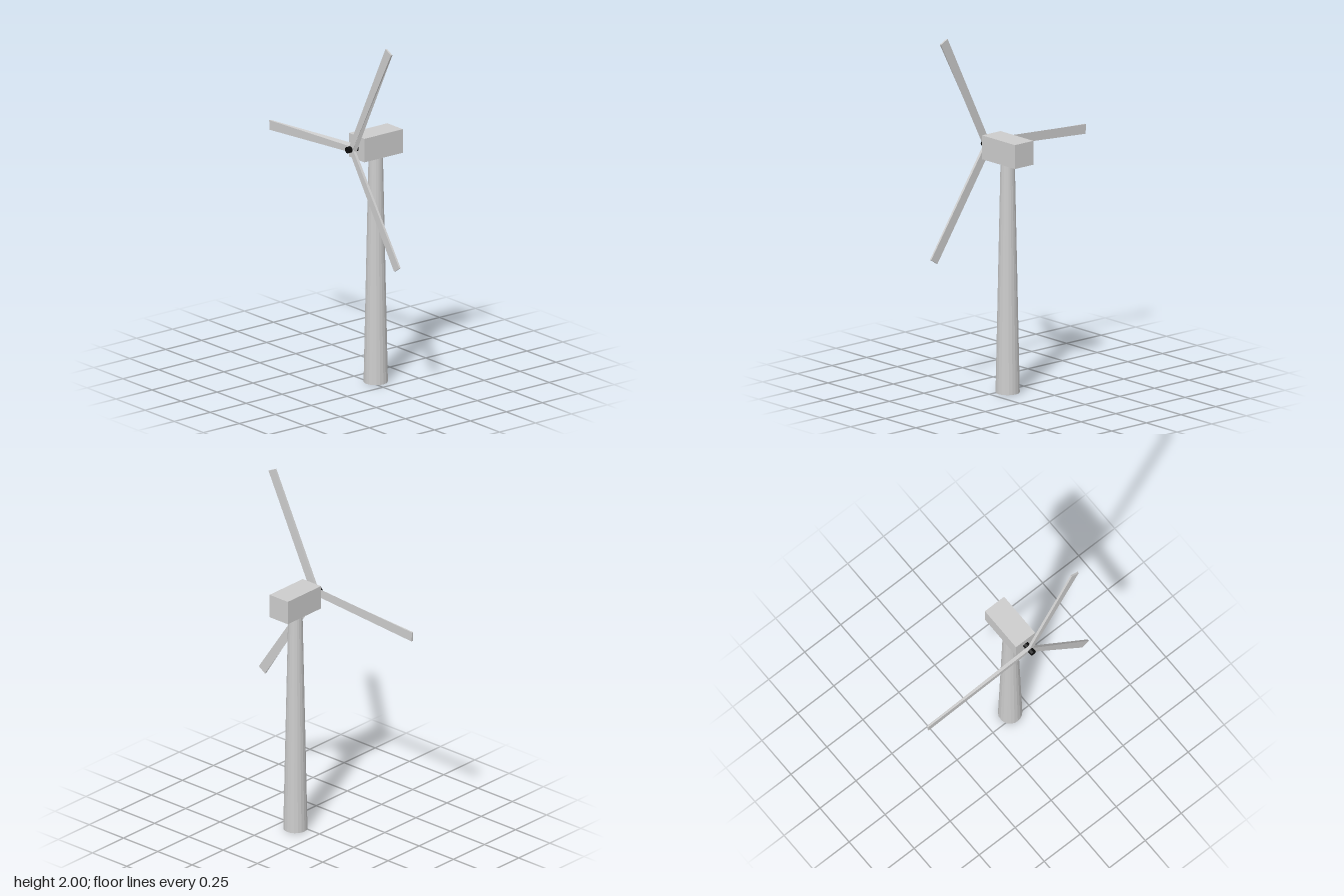
import * as THREE from 'three';

export function createModel() {
  const model = new THREE.Group();
  const shell = new THREE.MeshStandardMaterial({ color: 0xcccccc, flatShading: true });
  shell.name = 'light grey';
  const dark = new THREE.MeshStandardMaterial({ color: 0x0a0a0a, flatShading: true });
  dark.name = 'black';

  const axisX = 0.146, axisY = 1.356;

  function add(parent, name, geometry, material, x, y, z) {
    const mesh = new THREE.Mesh(geometry, material);
    mesh.name = name;
    mesh.position.set(x, y, z);
    parent.add(mesh);
    return mesh;
  }

  // Tapered tower and boxy housing
  add(model, 'tower', new THREE.CylinderGeometry(0.039, 0.066, 1.29, 20), shell, axisX, 0.645, -0.033);
  add(model, 'nacelle', new THREE.BoxGeometry(0.133, 0.134, 0.267), shell, axisX, axisY + 0.001, -0.034);

  // Rotor turns about the z axis
  const rotor = new THREE.Group();
  rotor.name = 'rotor';
  rotor.position.set(axisX, axisY, 0);
  model.add(rotor);

  const hub = new THREE.CylinderGeometry(0.0175, 0.0175, 0.069, 16).rotateX(Math.PI / 2);
  add(rotor, 'hub', hub, dark, 0, 0, 0.1325);

  // Blade: flat back, front thickens to the root with a bevelled leading edge
  const blade = new THREE.BoxGeometry(1, 1, 1);
  const p = blade.attributes.position;
  for (let i = 0; i < p.count; i++) {
    const leading = p.getX(i) > 0, tip = p.getY(i) > 0, front = p.getZ(i) > 0;
    const x = tip ? (leading ? 0.027 : -0.027)
      : (leading ? (front ? 0.016 : 0.032) : -0.017);
    const z = front ? (tip ? 0.136 : 0.142) : 0.126;
    p.setXYZ(i, x, tip ? 0.706 : 0.005, z);
  }
  blade.computeVertexNormals();

  for (let i = 0; i < 3; i++) {
    const mesh = add(rotor, 'blade' + (i + 1), blade, shell, 0, 0, 0);
    mesh.rotation.z = THREE.MathUtils.degToRad(63.4 - 90 + i * 120);
  }
  return model;
}
